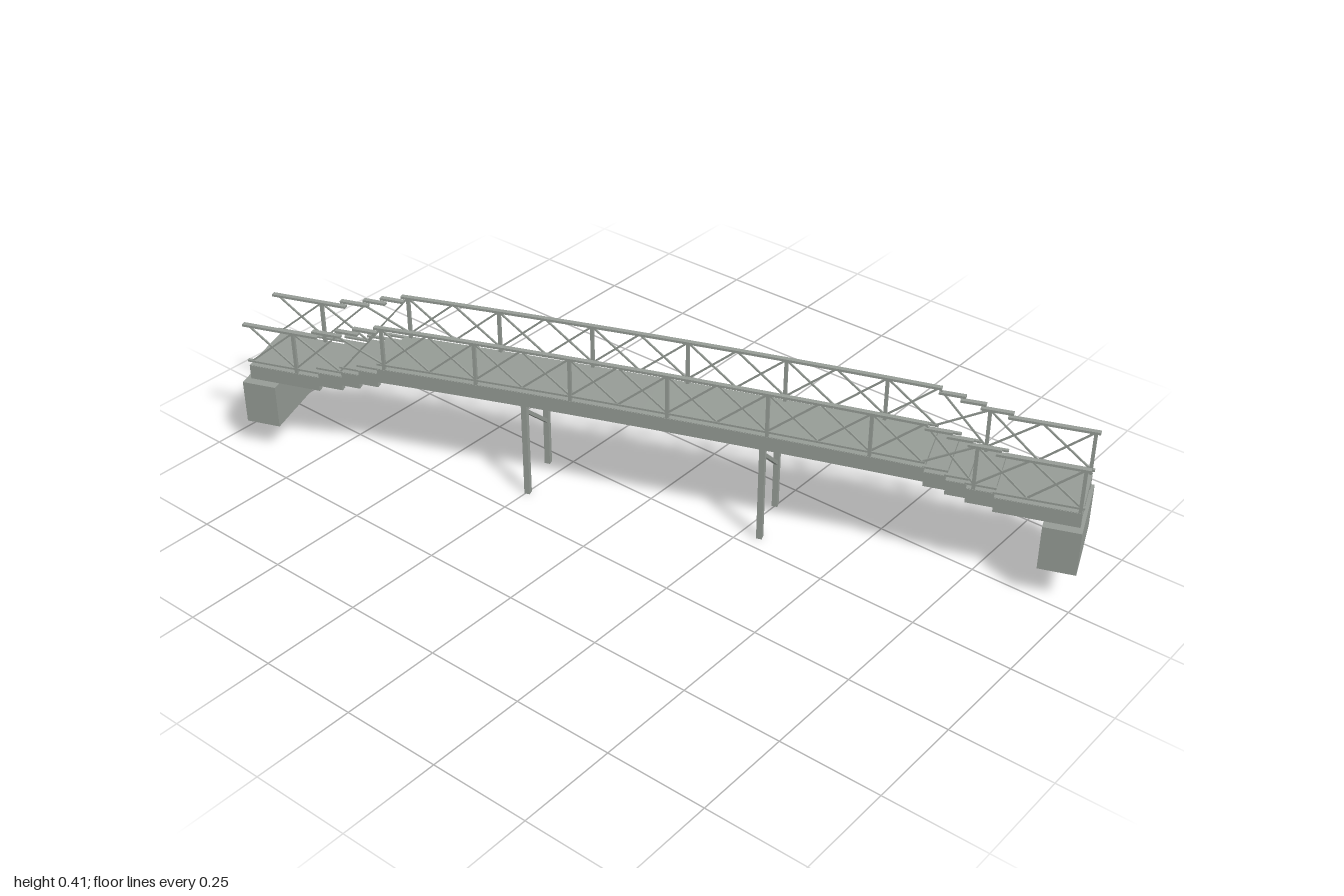
import * as THREE from 'three';

const grey = new THREE.MeshStandardMaterial({ color: 0x969c96 });
grey.name = 'weathered grey';

const LEFT_END = -1.012, RIGHT_END = 1.02;
const BREAKS = [0.665, 0.715, 0.762, 0.825]; // step positions, mirrored at both ends
const RAIL_W = 0.078;

// Walkway height on the gently arched span
const arch = (u) => 0.296 - 0.008 * (u / BREAKS[0]) ** 2;

// Walkway height anywhere, including the stepped ends
function level(u) {
  const a = Math.abs(u);
  if (a <= BREAKS[0]) return arch(u);
  const steps = BREAKS.filter((b) => a > b).length;
  return 0.288 - steps * (u < 0 ? 0.014 : 0.0115);
}

// Sections along the bridge: left steps, arched span, right steps
function sections() {
  const list = [[-BREAKS[0], BREAKS[0]]];
  BREAKS.forEach((b, i) => {
    list.push([-(BREAKS[i + 1] ?? -LEFT_END), -b]);
    list.push([b, BREAKS[i + 1] ?? RIGHT_END]);
  });
  return list;
}

// A strip that follows the walkway: top offset, thickness, width, sideways position
function strip(name, offset, thick, width, w, lap = 0) {
  const group = new THREE.Group();
  group.name = name;
  for (const [a, b] of sections()) {
    const n = b - a > 1 ? 12 : 1;
    const mid = level((a + b) / 2);
    const top = [];
    for (let i = 0; i <= n; i++) {
      const u = a + ((b - a) * i) / n;
      const x = n > 1 ? u : u + (i ? lap : -lap);
      top.push(new THREE.Vector2(x, (n > 1 ? arch(u) : mid) + offset));
    }
    const bottom = top.map((p) => new THREE.Vector2(p.x, p.y - thick)).reverse();
    const geo = new THREE.ExtrudeGeometry(new THREE.Shape([...bottom.reverse(), ...top.reverse()]), {
      depth: width, bevelEnabled: false,
    });
    geo.translate(0, 0, w - width / 2);
    const mesh = new THREE.Mesh(geo, grey);
    mesh.name = name + 'Section';
    group.add(mesh);
  }
  return group;
}

function box(name, sx, sy, sz, x, y, z) {
  const mesh = new THREE.Mesh(new THREE.BoxGeometry(sx, sy, sz), grey);
  mesh.name = name;
  mesh.position.set(x, y, z);
  return mesh;
}

// A square bar between two points
function bar(name, a, b, t) {
  const dir = b.clone().sub(a);
  const mesh = box(name, t, dir.length(), t, 0, 0, 0);
  mesh.position.copy(a).add(b).multiplyScalar(0.5);
  mesh.quaternion.setFromUnitVectors(new THREE.Vector3(0, 1, 0), dir.normalize());
  return mesh;
}

function railing(w) {
  const group = new THREE.Group();
  group.name = w > 0 ? 'frontRailing' : 'backRailing';
  group.add(strip('handrail', 0.115, 0.006, 0.012, w, 0.006));
  group.add(strip('lowerRail', 0.014, 0.005, 0.008, w, 0.004));

  // Upright posts
  const first = -0.885, bay = (1.015 - first) / 8;
  for (let i = 0; i <= 8; i++) {
    const u = first + i * bay;
    group.add(box('railPost', 0.008, 0.114, 0.008, u, level(u) + 0.056, w));
  }

  // Crossed braces, two per bay and one in the open left end
  for (let i = -1; i < 16; i++) {
    const a = first + (i * bay) / 2, b = a + bay / 2;
    for (const [lo, hi] of [[a, b], [b, a]]) {
      group.add(bar('crossBrace',
        new THREE.Vector3(lo, level(lo) + 0.012, w),
        new THREE.Vector3(hi, level(hi) + 0.111, w), 0.004));
    }
  }
  return group;
}

function pier(u) {
  const group = new THREE.Group();
  group.name = 'pier';
  for (const w of [-0.069, 0.069]) group.add(box('pierPost', 0.014, 0.255, 0.014, u, 0.1275, w));
  group.add(box('pierCap', 0.014, 0.018, 0.152, u, 0.248, 0));
  group.add(bar('pierBrace', new THREE.Vector3(u, 0.237, 0.069), new THREE.Vector3(u, 0.122, -0.069), 0.009));
  return group;
}

export function createModel() {
  const model = new THREE.Group();
  model.name = 'footbridge';

  const bridge = new THREE.Group();
  bridge.name = 'bridge';
  bridge.rotation.y = 0.366; // the bridge lies diagonally
  model.add(bridge);

  // Walkway and side girders
  bridge.add(strip('deck', 0, 0.018, 0.164, 0));
  for (const side of [-1, 1]) {
    bridge.add(strip('girder', -0.001, 0.037, 0.014, side * 0.076));
    bridge.add(railing(side * RAIL_W));
  }

  // Piers and end blocks
  for (const side of [-1, 1]) bridge.add(pier(side * 0.292));
  bridge.add(box('leftAbutment', 0.088, 0.113, 0.2, -0.983, 0.1335, 0));
  bridge.add(box('rightAbutment', 0.088, 0.114, 0.2, 0.983, 0.143, 0));
  return model;
}
